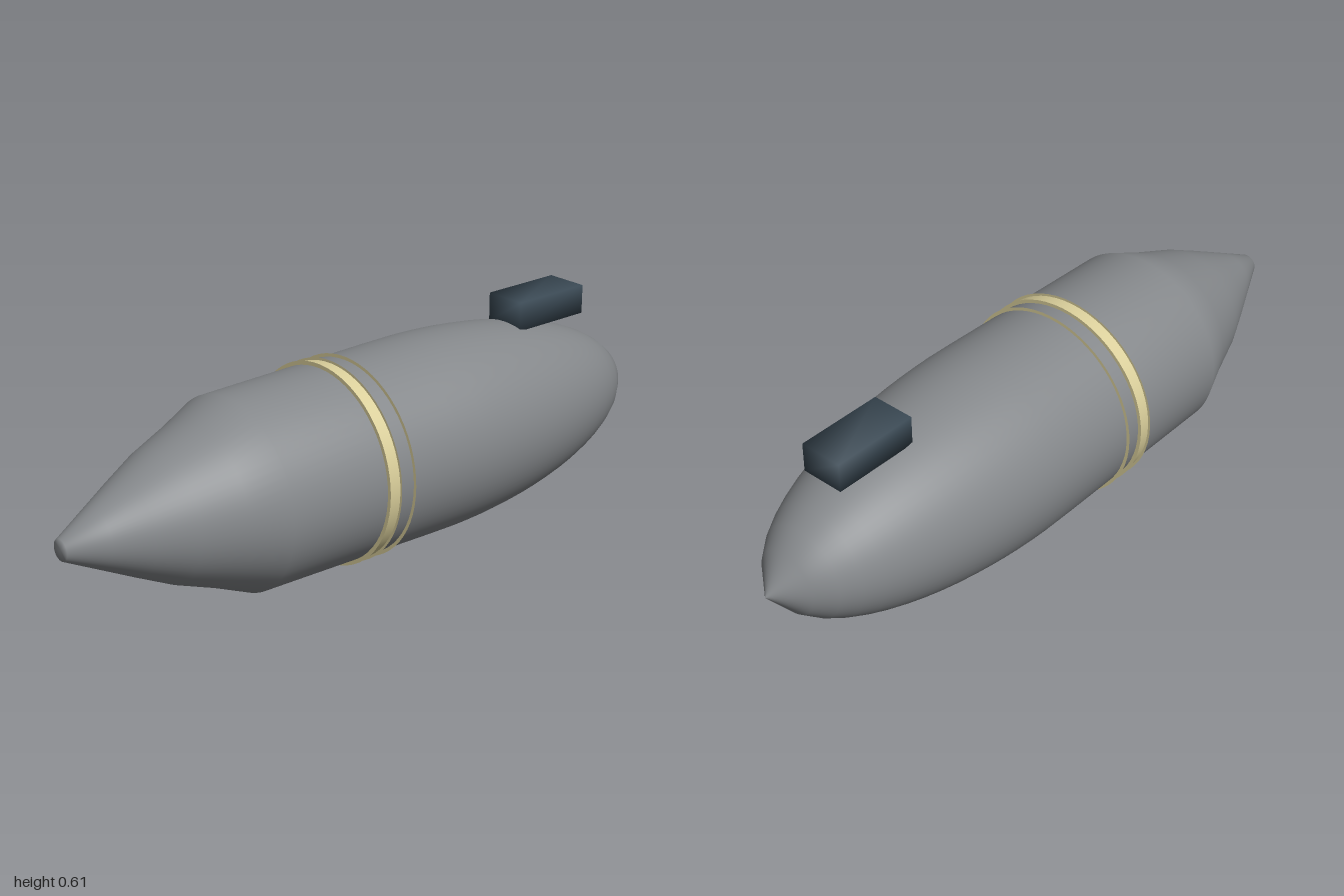
import * as THREE from 'three';
import { mergeVertices } from 'three/addons/utils/BufferGeometryUtils.js';

const AXIS_Y = 0.288; // height of the hull's long axis

export function createModel() {
  const model = new THREE.Group();
  const hullGrey = new THREE.MeshStandardMaterial({ color: 0x85888b });
  const paleYellow = new THREE.MeshStandardMaterial({ color: 0xdacf9b, side: THREE.DoubleSide });
  const darkSlate = new THREE.MeshStandardMaterial({ color: 0x3a4954 });

  const add = (name, geometry, material, x, y) => {
    const mesh = new THREE.Mesh(geometry, material);
    mesh.name = name;
    mesh.position.set(x, y, 0);
    model.add(mesh);
    return mesh;
  };

  // Hull: tapered tail, nearly straight middle, elliptical nose with a short cone tip
  const profile = [[0, -1], [0.03, -1], [0.081, -0.9], [0.132, -0.8], [0.181, -0.7],
    [0.226, -0.58], [0.271, -0.475], [0.277, -0.15], [0.282, 0.1]];
  for (let i = 0; i <= 14; i++) {
    const x = 0.19 + (0.735 * i) / 14;
    profile.push([0.283 * Math.sqrt(1 - ((x - 0.17) / 0.8) ** 2), x]);
  }
  profile.push([0, 1]);
  const hull = new THREE.LatheGeometry(profile.map(([r, x]) => new THREE.Vector2(r, x)), 64);
  hull.rotateZ(-Math.PI / 2);
  add('hull', hull, hullGrey, 0, AXIS_Y);

  // Painted band around the hull
  const band = new THREE.CylinderGeometry(0.281, 0.281, 0.04, 64, 1, true);
  band.rotateZ(-Math.PI / 2);
  add('band', band, paleYellow, -0.145, AXIS_Y);

  // Paper-thin collars beside the band
  for (const x of [-0.165, -0.125, -0.075]) {
    const collar = new THREE.RingGeometry(0.272, 0.288, 64);
    collar.rotateY(Math.PI / 2);
    add('collar', collar, paleYellow, x, AXIS_Y);
  }

  // Box on top of the nose, with softened shading
  let box = new THREE.BoxGeometry(0.254, 0.085, 0.127);
  box.deleteAttribute('normal');
  box.deleteAttribute('uv');
  box = mergeVertices(box);
  box.computeVertexNormals();
  add('topBox', box, darkSlate, 0.655, 0.57);

  return model;
}
